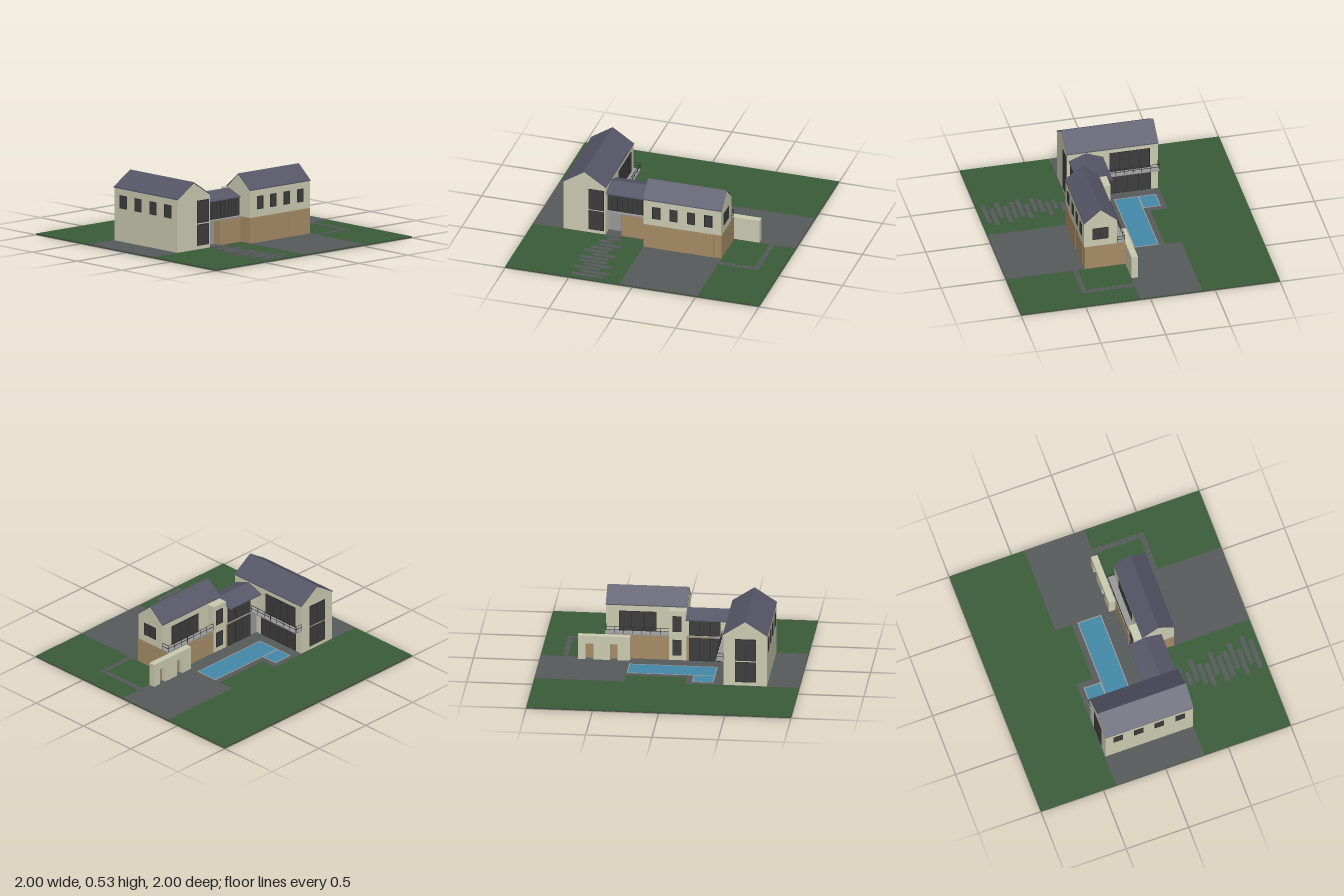
import * as THREE from 'three';

const mat = (color) => new THREE.MeshStandardMaterial({ color });
const M = {
  grass: mat(0x3a5c38), paving: mat(0x575a5a), earth: mat(0x444444), cream: mat(0xcbcbb2),
  wood: mat(0xa68c66), roof: mat(0x565668), glass: mat(0x3d3d3d), frame: mat(0x2c2c2c),
  water: mat(0x4289a8), concrete: mat(0x999999),
};
const G = 0.012; // ground level

export function createModel() {
  const root = new THREE.Group();
  root.name = 'houseAndGarden';

  // box given by its limits on each axis
  function box(name, m, x0, x1, y0, y1, z0, z1, parent = root) {
    const mesh = new THREE.Mesh(new THREE.BoxGeometry(x1 - x0, y1 - y0, z1 - z0), m);
    mesh.position.set((x0 + x1) / 2, (y0 + y1) / 2, (z0 + z1) / 2);
    mesh.name = name;
    parent.add(mesh);
    return mesh;
  }

  // upright panel on a wall; axis is the wall normal, dir its sign, u the run along the wall
  function panel(name, m, axis, dir, at, u0, u1, y0, y1, depth, parent = root) {
    const a = Math.min(at - dir * 0.004, at + dir * depth);
    const b = Math.max(at - dir * 0.004, at + dir * depth);
    if (axis === 'x') box(name, m, a, b, y0, y1, u0, u1, parent);
    else box(name, m, u0, u1, y0, y1, a, b, parent);
  }

  // glazing with a frame and mullions
  function glazing(name, axis, dir, at, u0, u1, y0, y1, cols = 1) {
    const g = new THREE.Group();
    g.name = name;
    root.add(g);
    const t = 0.004;
    panel('pane', M.glass, axis, dir, at, u0, u1, y0, y1, 0.002, g);
    for (let i = 0; i <= cols; i++) {
      const u = u0 + ((u1 - u0 - t) * i) / cols;
      panel('mullion', M.frame, axis, dir, at, u, u + t, y0, y1, 0.004, g);
    }
    for (const y of [y0, y1 - t]) panel('rail', M.frame, axis, dir, at, u0, u1, y, y + t, 0.004, g);
  }

  // extruded cross-section; along 'z' the points are (x, y), along 'x' they are (z, y)
  function prism(name, m, points, along, from, to) {
    const flip = along === 'x' ? -1 : 1;
    const shape = new THREE.Shape(points.map(([u, y]) => new THREE.Vector2(u * flip, y)));
    const geo = new THREE.ExtrudeGeometry(shape, { depth: to - from, bevelEnabled: false });
    geo.translate(0, 0, from);
    if (along === 'x') geo.rotateY(Math.PI / 2);
    const mesh = new THREE.Mesh(geo, m);
    mesh.name = name;
    root.add(mesh);
  }

  // gabled storey and its thin roof
  function gable(name, along, from, to, u0, u1, y0, eave, ridge) {
    const mid = (u0 + u1) / 2, t = 0.008, e = 0.003;
    prism(name + 'Walls', M.cream, [[u0, y0], [u1, y0], [u1, eave], [mid, ridge - t], [u0, eave]], along, from, to);
    prism(name + 'Roof', M.roof, [[u0 - e, eave - 0.004], [mid, ridge - t], [u1 + e, eave - 0.004],
      [u1 + e, eave + 0.004], [mid, ridge], [u0 - e, eave + 0.004]], along, from - e, to + e);
  }

  // balcony railing through plan points
  function railing(name, pts, y0, y1) {
    const g = new THREE.Group();
    g.name = name;
    root.add(g);
    const r = 0.0015;
    for (let i = 0; i + 1 < pts.length; i++) {
      const [ax, az] = pts[i], [bx, bz] = pts[i + 1];
      const n = Math.max(1, Math.round(Math.hypot(bx - ax, bz - az) / 0.07));
      for (let k = 0; k <= n; k++) {
        const x = ax + ((bx - ax) * k) / n, z = az + ((bz - az) * k) / n;
        box('post', M.frame, x - r, x + r, y0, y1, z - r, z + r, g);
      }
      for (const y of [y1, (y0 + y1) / 2]) {
        box('bar', M.frame, Math.min(ax, bx) - r, Math.max(ax, bx) + r, y - r, y + r,
          Math.min(az, bz) - r, Math.max(az, bz) + r, g);
      }
    }
  }

  // ground and paving
  box('earth', M.earth, -1, 1, 0, 0.005, -1, 1);
  box('lawn', M.grass, -1, 1, 0.005, G - 0.001, -1, 1);
  const paved = [
    [-1, -0.14, -0.4, 0.08], [-0.14, 0.32, -0.27, 0.08], [0.32, 1, -0.4, 0.08],
    [-1, -0.425, 0.08, 0.31], [-0.425, 0.515, 0.08, 0.3], [-0.1, 0.515, 0.3, 1],
  ];
  for (const [x0, x1, z0, z1] of paved) box('paving', M.paving, x0, x1, 0.006, G, z0, z1);

  // stepping stones to the entrance: left and right ends
  const stones = [[-.42, -.31], [-.4, -.285], [-.445, -.335], [-.43, -.25], [-.475, -.305], [-.51, -.32],
    [-.43, -.245], [-.51, -.29], [-.49, -.275], [-.445, -.225], [-.51, -.3], [-.44, -.21], [-.495, -.25]];
  stones.forEach(([x0, x1], i) => {
    const z = 0.305 + i * 0.0535;
    box('steppingStone', M.paving, x0, x1, 0.006, G + 0.004, z - 0.018, z + 0.018);
  });

  // side path of small pavers
  for (let i = 0; i < 9; i++) {
    const z = 0.082 + i * 0.0455;
    box('pathPaver', M.paving, 0.792, 0.833, 0.006, G + 0.002, z, z + 0.041);
  }
  for (let i = 0; i < 6; i++) {
    const x = 0.52 + i * 0.0455;
    box('pathPaver', M.paving, x, x + 0.041, 0.006, G + 0.002, 0.45, 0.49);
  }

  // pools with a light rim
  for (const [x0, x1, z0, z1] of [[-0.35, 0.32, -0.225, -0.035], [-0.35, -0.185, -0.36, -0.222]]) {
    const b = 0.008;
    box('poolWater', M.water, x0 + b, x1 - b, 0.006, G + 0.001, z0 + b, z1 - b);
    box('poolRim', M.concrete, x0, x1, 0.006, G + 0.002, z0, z0 + b);
    box('poolRim', M.concrete, x0, x1, 0.006, G + 0.002, z1 - b, z1);
    box('poolRim', M.concrete, x0, x0 + b, 0.006, G + 0.002, z0, z1);
    box('poolRim', M.concrete, x1 - b, x1, 0.006, G + 0.002, z0, z1);
  }

  // main wing
  gable('mainWing', 'z', -0.395, 0.308, -0.757, -0.428, G, 0.418, 0.532);
  for (const [y0, y1] of [[0.04, 0.202], [0.212, 0.385]]) {
    glazing('frontWindow', 'z', 1, 0.308, -0.56, -0.44, y0, y1);
    glazing('backWindow', 'z', -1, -0.395, -0.675, -0.515, y0, y1, 2);
  }
  for (const z of [-0.33, -0.165, 0, 0.165]) glazing('sideWindow', 'x', -1, -0.757, z, z + 0.075, 0.265, 0.365);
  glazing('patioDoors', 'x', 1, -0.428, -0.34, 0.03, 0.015, 0.203, 4);
  glazing('balconyDoors', 'x', 1, -0.428, -0.33, -0.02, 0.213, 0.382, 4);
  box('mainBalcony', M.concrete, -0.43, -0.37, 0.203, 0.212, -0.395, 0.08);
  railing('mainBalconyRailing', [[-0.428, -0.392], [-0.373, -0.392], [-0.373, 0.08]], 0.212, 0.262);

  // connecting section
  box('linkLowerWall', M.wood, -0.305, -0.1, G, 0.203, 0.08, 0.29);
  box('entranceWall', M.concrete, -0.428, -0.305, G, 0.203, 0.08, 0.22);
  panel('entranceDoor', M.concrete, 'z', 1, 0.22, -0.4, -0.33, G, 0.18, 0.004);
  box('linkFloor', M.concrete, -0.428, -0.1, 0.203, 0.212, 0.08, 0.305);
  prism('linkUpperWalls', M.cream, [[0.08, 0.212], [0.285, 0.212], [0.285, 0.357], [0.163, 0.402], [0.08, 0.37]],
    'x', -0.428, -0.1);
  prism('linkRoof', M.roof, [[0.03, 0.35], [0.163, 0.402], [0.295, 0.35], [0.295, 0.358], [0.163, 0.41], [0.03, 0.358]],
    'x', -0.428, -0.1);
  glazing('linkFrontGlass', 'z', 1, 0.285, -0.418, -0.105, 0.215, 0.35, 8);
  glazing('linkBackGlass', 'z', -1, 0.08, -0.36, -0.12, 0.215, 0.345, 3);
  glazing('linkBackDoors', 'z', -1, 0.08, -0.36, -0.12, G, 0.195, 3);

  // stair tower at the back
  box('stairTower', M.cream, -0.1, 0.03, G, 0.405, 0.08, 0.145);
  for (const [y0, y1] of [[0.05, 0.175], [0.24, 0.365]]) {
    glazing('towerWindow', 'z', -1, 0.08, -0.065, 0.005, y0, y1);
  }

  // garage wing with bedrooms above
  box('garageWalls', M.wood, -0.1, 0.515, G, 0.207, 0.082, 0.397);
  gable('bedroomWing', 'x', -0.1, 0.512, 0.143, 0.397, 0.207, 0.418, 0.532);
  for (const [x0, x1] of [[-0.03, 0.24], [0.305, 0.45]]) {
    panel('garageDoor', M.wood, 'z', 1, 0.397, x0, x1, G, 0.2, 0.003);
  }
  for (const x of [-0.03, 0.107, 0.243, 0.38]) glazing('bedroomWindow', 'z', 1, 0.397, x, x + 0.063, 0.265, 0.365);
  glazing('gableWindow', 'x', 1, 0.512, 0.21, 0.335, 0.265, 0.365, 2);
  glazing('terraceDoors', 'z', -1, 0.143, 0.13, 0.415, 0.212, 0.37, 3);
  box('terrace', M.concrete, 0.03, 0.515, 0.2, 0.211, 0.08, 0.145);
  railing('terraceRailing', [[0.03, 0.084], [0.511, 0.084], [0.511, 0.143]], 0.211, 0.263);

  // garden wall with two doorways facing the pool
  const wallRuns = [[0.32, 0.415], [0.47, 0.597], [0.655, 0.715]];
  for (const [x0, x1] of wallRuns) box('gardenWall', M.cream, x0, x1, G, 0.2, 0.03, 0.08);
  for (const [x0, x1] of [[0.415, 0.47], [0.597, 0.655]]) {
    box('gardenWallLintel', M.cream, x0, x1, 0.14, 0.2, 0.03, 0.08);
    box('gardenWallBack', M.cream, x0, x1, G, 0.14, 0.07, 0.08);
    box('gardenDoor', M.wood, x0, x1, G, 0.14, 0.062, 0.07);
  }
  return root;
}
